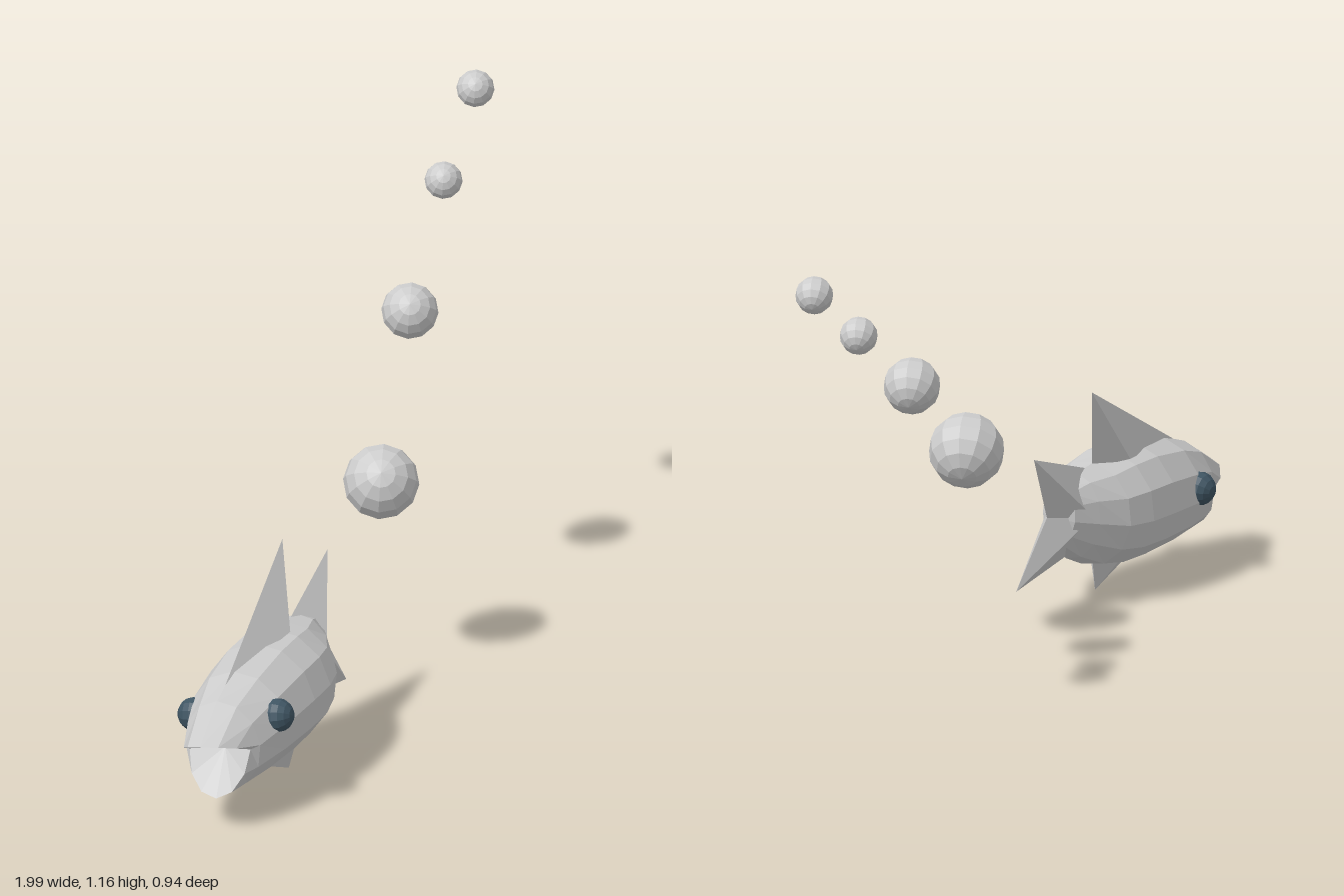
import * as THREE from 'three';
import { ConvexGeometry } from 'three/addons/geometries/ConvexGeometry.js';

const SIDES = 12;
const grey = new THREE.MeshStandardMaterial({ color: 0xcccccc, flatShading: true });
const dark = new THREE.MeshStandardMaterial({ color: 0x3f5563, flatShading: true });

function add(parent, name, geometry, material = grey) {
  const mesh = new THREE.Mesh(geometry, material);
  mesh.name = name;
  parent.add(mesh);
  return mesh;
}

// Faceted solid spanned by a few corner points
function solid(points) {
  return new ConvexGeometry(points.map(p => new THREE.Vector3(...p)));
}

// Lofted body along x with an open mouth at the front
function bodyGeometry() {
  const rings = [];
  const angle = j => (j / SIDES) * Math.PI * 2;

  // Lips: the upper half reaches further forward than the lower jaw
  const lips = [];
  for (let j = 0; j < SIDES; j++) {
    const s = Math.sin(angle(j)), c = Math.cos(angle(j));
    lips.push(s >= 0
      ? [-0.31 - 0.11 * s, -0.04 + 0.045 * s, 0.08 * c]
      : [-0.31 + 0.06 * s, -0.04 + 0.105 * s, 0.08 * c]);
  }
  rings.push(lips);

  // Cross-sections: x, top, bottom, half width
  const sections = [
    [-0.29, 0.075, -0.148, 0.098],
    [-0.18, 0.11, -0.153, 0.127],
    [-0.04, 0.13, -0.157, 0.14],
    [0.06, 0.13, -0.155, 0.139],
    [0.14, 0.118, -0.142, 0.122],
    [0.22, 0.108, -0.11, 0.08],
    [0.28, 0.085, -0.07, 0.045],
  ];
  for (const [x, top, bottom, half] of sections) {
    const ring = [];
    for (let j = 0; j < SIDES; j++) {
      const a = angle(j);
      ring.push([x, (top + bottom) / 2 + (top - bottom) / 2 * Math.sin(a), half * Math.cos(a)]);
    }
    rings.push(ring);
  }

  const positions = rings.flat(2);
  const index = [];
  for (let i = 0; i < rings.length - 1; i++) {
    for (let j = 0; j < SIDES; j++) {
      const k = (j + 1) % SIDES;
      const a = i * SIDES + j, b = i * SIDES + k, c = a + SIDES, d = b + SIDES;
      index.push(a, c, b, b, c, d);
    }
  }

  // Throat and tail-end caps
  const throat = rings.length * SIDES, end = throat + 1, last = throat - SIDES;
  positions.push(-0.28, -0.045, 0, 0.3, 0.01, 0);
  for (let j = 0; j < SIDES; j++) {
    const k = (j + 1) % SIDES;
    index.push(throat, j, k, end, last + k, last + j);
  }

  const geometry = new THREE.BufferGeometry();
  geometry.setAttribute('position', new THREE.Float32BufferAttribute(positions, 3));
  geometry.setIndex(index);
  geometry.computeVertexNormals();
  return geometry;
}

function createFish() {
  const fish = new THREE.Group();
  fish.name = 'fish';
  add(fish, 'body', bodyGeometry());

  // Swept dorsal and belly fins
  add(fish, 'dorsalFin', solid([
    [-0.23, 0.095, 0], [0.06, 0.122, 0.052], [0.06, 0.122, -0.052], [0.15, 0.105, 0], [0.197, 0.308, 0],
  ]));
  add(fish, 'bellyFin', solid([
    [-0.13, -0.15, 0], [0.03, -0.14, 0.045], [0.03, -0.14, -0.045], [0.09, -0.14, 0], [0.058, -0.227, 0],
  ]));

  // Forked tail
  add(fish, 'upperTailLobe', solid([
    [0.17, 0.108, 0], [0.22, 0.01, 0.065], [0.22, 0.01, -0.065], [0.25, 0.125, 0], [0.34, 0.02, 0], [0.44, 0.19, 0],
  ]));
  add(fish, 'lowerTailLobe', solid([
    [0.2, -0.1, 0], [0.23, 0.01, 0.06], [0.23, 0.01, -0.06], [0.29, -0.065, 0], [0.34, 0.02, 0], [0.445, -0.145, 0],
  ]));

  // Eyes
  for (const side of [1, -1]) {
    const eye = add(fish, side > 0 ? 'rightEye' : 'leftEye', new THREE.SphereGeometry(0.042, 12, 8), dark);
    eye.rotation.x = side * Math.PI / 2;
    eye.position.set(-0.195, 0.005, side * 0.108);
  }

  // Turned and slightly rolled pose
  fish.rotation.set(-0.14, 0.325, 0, 'YXZ');
  fish.position.set(-0.6, 0.23, 0.268);
  return fish;
}

export function createModel() {
  const model = new THREE.Group();
  model.name = 'fishWithBubbles';
  model.add(createFish());

  // Trail of bubbles: x, y, z, radius
  const bubbles = [
    [0.07, 0.497, 0.045, 0.092],
    [0.44, 0.763, -0.187, 0.069],
    [0.74, 0.967, -0.342, 0.046],
    [0.95, 1.118, -0.424, 0.046],
  ];
  bubbles.forEach(([x, y, z, r], i) => {
    const bubble = add(model, `bubble${i + 1}`, new THREE.SphereGeometry(r, 12, 8));
    bubble.position.set(x, y, z);
    bubble.rotation.set(0.5, 0.3, 0.7);
  });
  return model;
}
